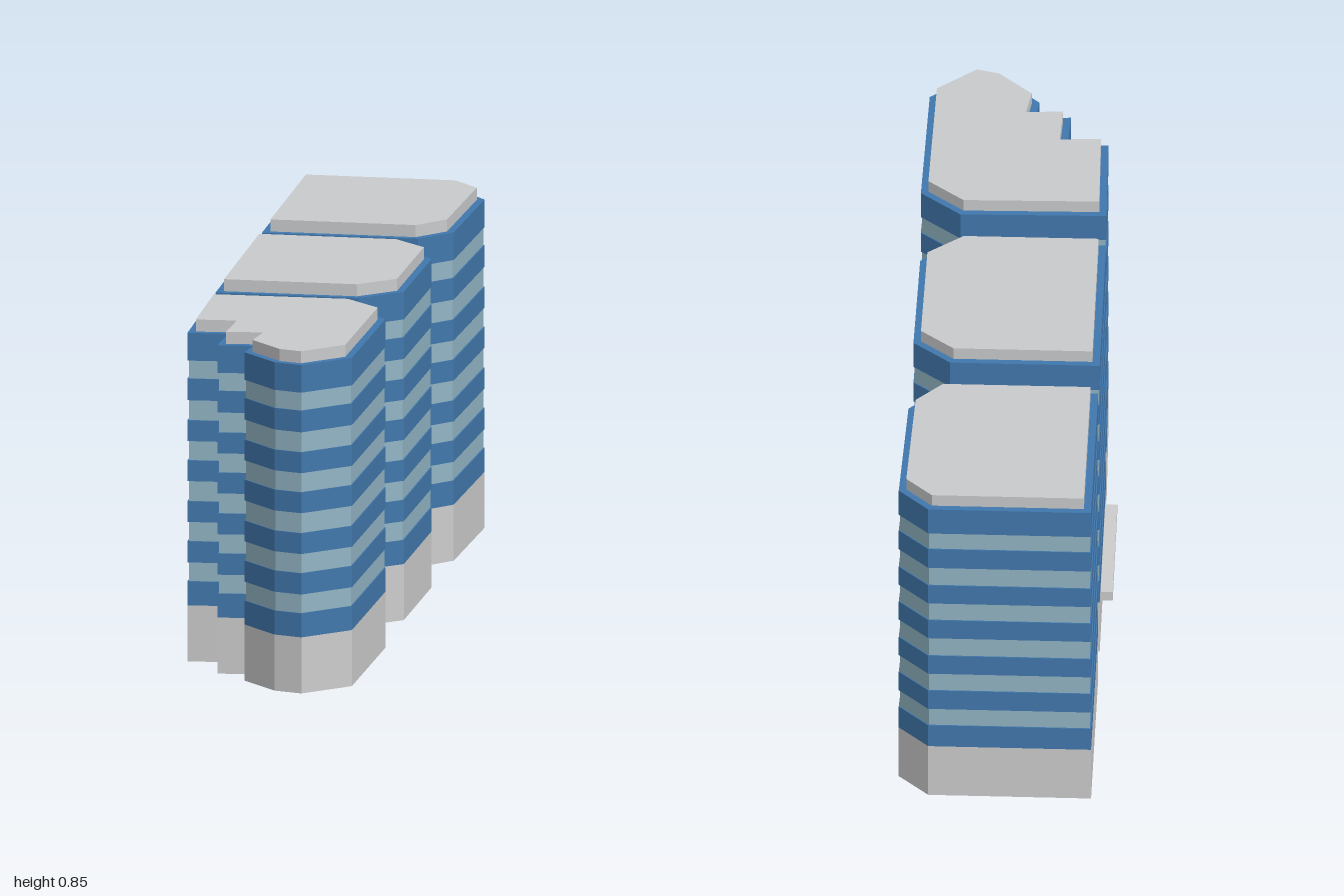
import * as THREE from 'three';

// Footprints as [x, z], clockwise seen from above
const backPlan = [[0.09, -1], [0.46, -0.855], [0.5, -0.75], [0.355, -0.4], [0.255, -0.345], [-0.105, -0.485]];
const middlePlan = [[-0.15, -0.365], [0.19, -0.232], [0.245, -0.117], [0.107, 0.235], [-0.015, 0.283], [-0.345, 0.155]];
const frontPlan = [[-0.39, 0.283], [-0.055, 0.406], [0.004, 0.53], [-0.16, 0.942], [-0.297, 1], [-0.355, 0.955],
  [-0.405, 0.83], [-0.37, 0.765], [-0.455, 0.74], [-0.405, 0.62], [-0.5, 0.59]];

const blueBands = [[0.14, 0.2], [0.247, 0.3], [0.348, 0.4], [0.45, 0.502], [0.55, 0.602], [0.652, 0.706], [0.751, 0.82]];

// Offsets every wall of a plan inwards by d, with mitred corners
function inset(plan, d) {
  const n = plan.length;
  const normal = (a, b) => {
    const l = Math.hypot(b[0] - a[0], b[1] - a[1]);
    return [-(b[1] - a[1]) / l, (b[0] - a[0]) / l];
  };
  return plan.map((p, i) => {
    const m = normal(plan[(i + n - 1) % n], p);
    const k = normal(p, plan[(i + 1) % n]);
    const s = d / (1 + m[0] * k[0] + m[1] * k[1]);
    return [p[0] + (m[0] + k[0]) * s, p[1] + (m[1] + k[1]) * s];
  });
}

// Upright prism over a plan
function prism(name, plan, y0, y1, material) {
  const shape = new THREE.Shape(plan.map(([x, z]) => new THREE.Vector2(x, -z)));
  const geometry = new THREE.ExtrudeGeometry(shape, { depth: y1 - y0, bevelEnabled: false });
  geometry.rotateX(-Math.PI / 2).translate(0, y0, 0);
  const mesh = new THREE.Mesh(geometry, material);
  mesh.name = name;
  return mesh;
}

// Straight box of width w running between two plan points
function beam(name, a, b, w, y0, y1, material) {
  const dx = b[0] - a[0], dz = b[1] - a[1];
  const mesh = new THREE.Mesh(new THREE.BoxGeometry(w, y1 - y0, Math.hypot(dx, dz)), material);
  mesh.position.set((a[0] + b[0]) / 2, (y0 + y1) / 2, (a[1] + b[1]) / 2);
  mesh.rotation.y = Math.atan2(dx, dz);
  mesh.name = name;
  return mesh;
}

export function createModel() {
  const mat = (name, color) => {
    const m = new THREE.MeshStandardMaterial({ color });
    m.name = name;
    return m;
  };
  const concrete = mat('concrete', 0xcccccc);
  const roofGrey = mat('roofGrey', 0xc9cacc);
  const blue = mat('bluePanel', 0x4178ad);
  const glass = mat('paleGlass', 0x92b5c4);

  const model = new THREE.Group();
  model.name = 'towerComplex';

  // Three towers: plinth, glass core, blue floor bands, roof slab
  const plans = { backTower: backPlan, middleTower: middlePlan, frontTower: frontPlan };
  for (const [name, plan] of Object.entries(plans)) {
    const tower = new THREE.Group();
    tower.name = name;
    tower.add(prism('plinth', plan, 0, 0.14, concrete));
    tower.add(prism('glassCore', inset(plan, 0.003), 0.13, 0.81, glass));
    blueBands.forEach(([y0, y1], i) => tower.add(prism(`blueBand${i + 1}`, plan, y0, y1, blue)));
    tower.add(prism('roofSlab', inset(plan, 0.018), 0.815, 0.85, roofGrey));
    model.add(tower);
  }

  // Two levels of footbridge across each gap
  for (const [y0, y1] of [[0.24, 0.297], [0.475, 0.532]]) {
    model.add(beam('backBridge', [0.1, -0.425], [0.04, -0.275], 0.072, y0, y1, blue));
    model.add(beam('frontBridge', [-0.128, 0.222], [-0.176, 0.375], 0.072, y0, y1, blue));
  }

  // Entrance canopy along the side wall of the middle tower
  model.add(beam('canopy', [-0.184, -0.299], [-0.325, 0.078], 0.042, 0.1, 0.125, concrete));

  return model;
}
